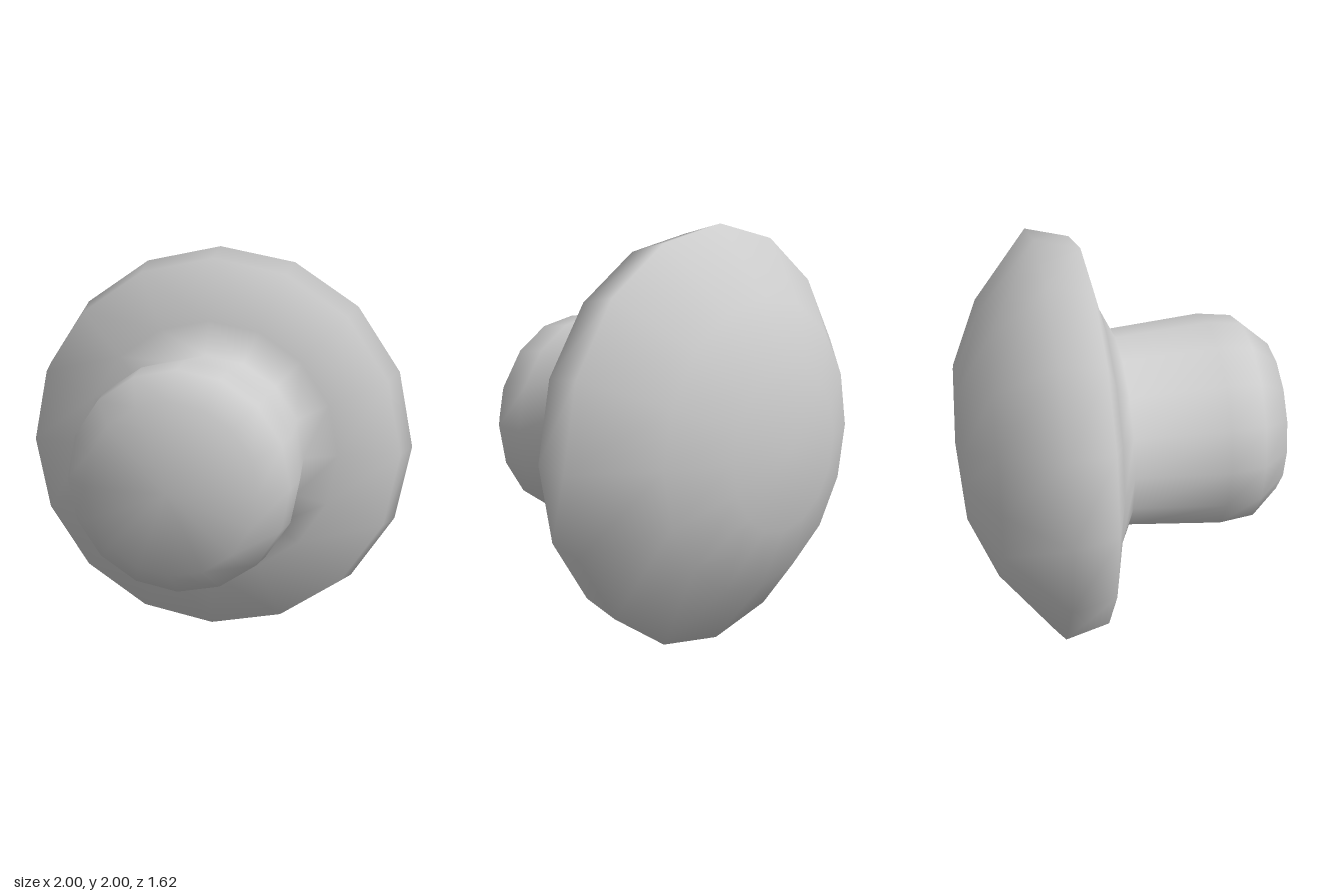
import * as THREE from 'three';
import { mergeVertices } from 'three/addons/utils/BufferGeometryUtils.js';

const SIDES = 16;

// Profile as [radius, z], from the back of the cap to the tip of the stem
const PROFILE = [
  // domed cap
  [0, -0.81], [0.38, -0.785], [0.68, -0.655], [1, -0.39],
  // rim and underside
  [0.95, -0.18], [0.65, -0.1],
  // stem with rounded end
  [0.49, -0.02], [0.53, 0.43], [0.51, 0.6], [0.39, 0.74], [0, 0.81],
];

export function createModel() {
  const group = new THREE.Group();
  group.name = 'mushroomKnob';

  // Turned body, with its axis laid along z
  const lathe = new THREE.LatheGeometry(PROFILE.map(([r, z]) => new THREE.Vector2(r, z)), SIDES);
  lathe.rotateX(Math.PI / 2);

  // Weld the seam and poles so the shading is smooth all round
  lathe.deleteAttribute('uv');
  lathe.deleteAttribute('normal');
  const geometry = mergeVertices(lathe, 1e-4);
  geometry.computeVertexNormals();

  const body = new THREE.Mesh(geometry, new THREE.MeshStandardMaterial({ color: 0xcccccc }));
  body.name = 'capAndStem';
  body.position.y = 1;
  group.add(body);
  return group;
}
